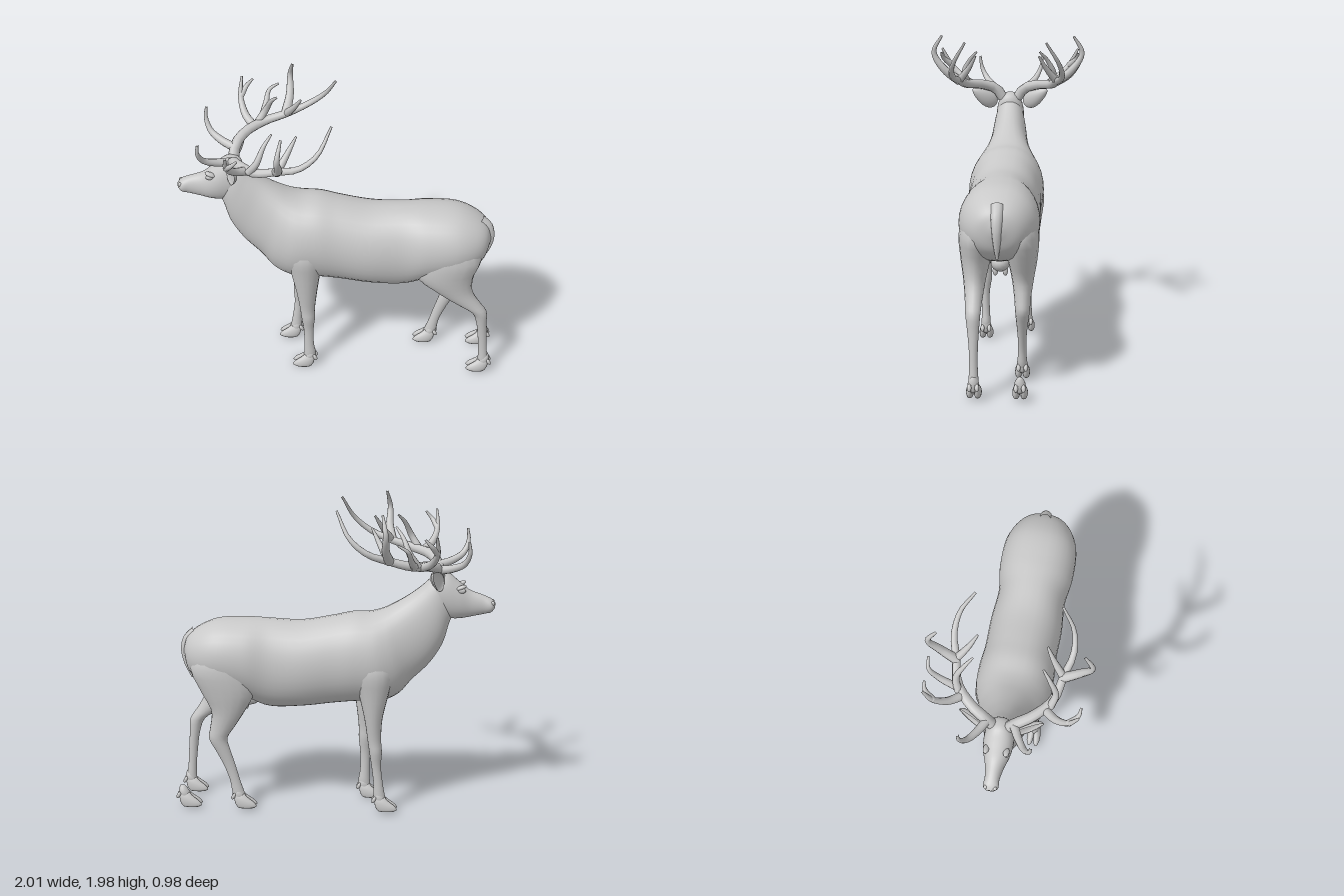
import * as THREE from 'three';

const grey = new THREE.MeshStandardMaterial({ color: 0xc8c8c8 });
grey.name = 'plain grey';
const V = (x, y, z) => new THREE.Vector3(x, y, z);

function mesh(name, geometry) {
  const m = new THREE.Mesh(geometry, grey);
  m.name = name;
  return m;
}

// Smooth closed skin over a list of rings, capped at both ends
function loft(rings) {
  const n = rings[0].length, pos = [], idx = [];
  rings.forEach(r => r.forEach(p => pos.push(p.x, p.y, p.z)));
  for (let i = 0; i < rings.length - 1; i++) {
    for (let j = 0; j < n; j++) {
      const a = i * n + j, b = i * n + (j + 1) % n;
      idx.push(a, b, a + n, b, b + n, a + n);
    }
  }
  [0, rings.length - 1].forEach((i, end) => {
    const c = rings[i].reduce((s, p) => s.add(p), V(0, 0, 0)).divideScalar(n);
    const k = pos.length / 3;
    pos.push(c.x, c.y, c.z);
    for (let j = 0; j < n; j++) {
      const a = i * n + j, b = i * n + (j + 1) % n;
      if (end) idx.push(a, b, k); else idx.push(b, a, k);
    }
  });
  // Turn the skin outward if its enclosed volume is negative
  const at = i => V(pos[3 * i], pos[3 * i + 1], pos[3 * i + 2]);
  let volume = 0;
  for (let i = 0; i < idx.length; i += 3) volume += at(idx[i]).dot(at(idx[i + 1]).cross(at(idx[i + 2])));
  if (volume < 0) idx.reverse();
  const g = new THREE.BufferGeometry();
  g.setAttribute('position', new THREE.Float32BufferAttribute(pos, 3));
  g.setIndex(idx);
  g.computeVertexNormals();
  return g;
}

// Stations along the trunk: [top x, top y, bottom x, bottom y, half width]
function trunk(stations, steps) {
  const curve = f => new THREE.CatmullRomCurve3(stations.map(f), false, 'centripetal');
  const top = curve(s => V(s[0], s[1], s[4])), bottom = curve(s => V(s[2], s[3], s[4]));
  const rings = [];
  for (let i = 0; i <= steps; i++) {
    const t = top.getPoint(i / steps), b = bottom.getPoint(i / steps), ring = [];
    const w = (t.z + b.z) / 2;
    for (let j = 0; j < 32; j++) {
      const a = j / 32 * Math.PI * 2, c = Math.cos(a), s = Math.sin(a);
      const k = 0.5 + c / 2;
      const side = Math.sign(s) * Math.pow(Math.abs(s), 0.88);
      ring.push(V(b.x + (t.x - b.x) * k, b.y + (t.y - b.y) * k, side * w));
    }
    rings.push(ring);
  }
  return loft(rings);
}

// Stations up or down a limb: [x min, x max, y, z centre, z radius]
function limb(stations, side = 1, steps = 28) {
  const a = new THREE.CatmullRomCurve3(stations.map(s => V(s[0], s[2], s[3])), false, 'centripetal');
  const b = new THREE.CatmullRomCurve3(stations.map(s => V(s[1], s[2], s[4])), false, 'centripetal');
  const rings = [];
  for (let i = 0; i <= steps; i++) {
    const p = a.getPoint(i / steps), q = b.getPoint(i / steps), ring = [];
    for (let j = 0; j < 18; j++) {
      const t = j / 18 * Math.PI * 2;
      const k = 0.5 + Math.cos(t) / 2;
      ring.push(V(p.x + (q.x - p.x) * k, p.y + (q.y - p.y) * k, side * p.z + q.z * Math.sin(t)));
    }
    rings.push(ring);
  }
  return loft(rings);
}

// Round tube whose radius runs from r0 to r1 along the points
function taper(points, r0, r1, steps = 18) {
  const path = new THREE.CatmullRomCurve3(points.map(p => V(...p)));
  const g = new THREE.TubeGeometry(path, steps, 1, 10);
  const pos = g.attributes.position;
  for (let i = 0; i <= steps; i++) {
    const c = path.getPointAt(i / steps), r = r0 + (r1 - r0) * Math.pow(i / steps, 1.4);
    for (let j = 0; j <= 10; j++) {
      const k = i * 11 + j, p = V(0, 0, 0).fromBufferAttribute(pos, k).sub(c).multiplyScalar(r).add(c);
      pos.setXYZ(k, p.x, p.y, p.z);
    }
  }
  return g;
}

function blob(name, x, y, z, rx, ry, rz) {
  const m = mesh(name, new THREE.SphereGeometry(1, 16, 12));
  m.position.set(x, y, z);
  m.scale.set(rx, ry, rz);
  return m;
}

// Cloven hoof: two toes, a pastern and two dewclaws; x is its rear edge
function hoof(x, y, z) {
  const g = new THREE.Group();
  g.name = 'hoof';
  for (const s of [-1, 1]) {
    g.add(mesh('toe', limb([
      [-0.125, -0.02, 0, 0.023, 0.018], [-0.14, -0.01, 0.012, 0.023, 0.022], [-0.125, 0, 0.035, 0.022, 0.023],
      [-0.085, 0.005, 0.065, 0.018, 0.02], [-0.06, 0.01, 0.09, 0.012, 0.014],
    ], s, 10)));
    const claw = blob('dewclaw', 0.008, 0.075, s * 0.022, 0.012, 0.024, 0.013);
    claw.rotation.z = 0.5;
    g.add(claw);
  }
  g.add(mesh('pastern', limb([[-0.07, 0.0, 0.04, 0, 0.025], [-0.065, 0.01, 0.08, 0, 0.034],
    [-0.05, 0.008, 0.11, 0, 0.028], [-0.03, 0, 0.135, 0, 0.012]], 1, 8)));
  g.position.set(x, y, z);
  return g;
}

// Main beam and tines of one antler
function antler(side) {
  const g = new THREE.Group();
  g.name = side > 0 ? 'leftAntler' : 'rightAntler';
  const add = (name, pts, r0, r1) => g.add(mesh(name, taper(pts.map(([x, y, z]) => [x, y, z * side]), r0, r1)));
  add('beam', [[-0.65, 1.53, 0.05], [-0.64, 1.59, 0.09], [-0.59, 1.625, 0.18], [-0.48, 1.645, 0.28], [-0.34, 1.685, 0.315],
    [-0.22, 1.73, 0.35], [-0.11, 1.82, 0.335], [-0.03, 1.97, 0.25]], 0.034, 0.007);
  add('browTine', [[-0.65, 1.58, 0.08], [-0.73, 1.60, 0.12], [-0.8, 1.64, 0.165], [-0.83, 1.71, 0.2], [-0.825, 1.785, 0.21]], 0.027, 0.007);
  add('secondTine', [[-0.54, 1.63, 0.24], [-0.6, 1.67, 0.31], [-0.635, 1.75, 0.39], [-0.63, 1.86, 0.45]], 0.027, 0.007);
  add('secondTineFork', [[-0.635, 1.75, 0.39], [-0.6, 1.8, 0.44], [-0.56, 1.845, 0.45]], 0.02, 0.006);
  add('innerTine', [[-0.52, 1.64, 0.27], [-0.47, 1.72, 0.29], [-0.43, 1.81, 0.25], [-0.385, 1.87, 0.2]], 0.024, 0.006);
  add('tallTine', [[-0.35, 1.68, 0.31], [-0.33, 1.76, 0.41], [-0.33, 1.87, 0.475], [-0.31, 1.98, 0.42]], 0.03, 0.007);
  add('upperInnerTine', [[-0.34, 1.69, 0.31], [-0.29, 1.77, 0.25], [-0.24, 1.86, 0.2]], 0.024, 0.006);
  if (side < 0) add('outerTine', [[-0.5, 1.64, 0.28], [-0.48, 1.7, 0.39], [-0.46, 1.77, 0.45], [-0.4, 1.81, 0.46]], 0.024, 0.006);
  return g;
}

// Leaf-shaped ear, hollowed on its front
function ear(side) {
  const g = new THREE.SphereGeometry(1, 24, 18), p = g.attributes.position;
  for (let i = 0; i < p.count; i++) {
    const x = p.getX(i), y = p.getY(i), z = p.getZ(i);
    const depth = x < 0 ? x * -0.5 : x;
    p.setXYZ(i, depth * 0.035, y * 0.1, z * 0.052 * (1 - 0.35 * y));
  }
  g.computeVertexNormals();
  const m = mesh(side > 0 ? 'leftEar' : 'rightEar', g);
  m.position.set(-0.645, 1.535, side * 0.17);
  m.rotation.set(side * 1.0, side * 0.4, 0, 'YXZ');
  return m;
}

export function createModel() {
  const deer = new THREE.Group();
  deer.name = 'stag';

  deer.add(mesh('bodyAndNeck', trunk([
    [0.955, 1.04, 0.95, 0.98, 0.03], [0.925, 1.12, 0.91, 0.88, 0.13], [0.86, 1.175, 0.84, 0.82, 0.19],
    [0.74, 1.225, 0.74, 0.78, 0.232], [0.55, 1.237, 0.56, 0.73, 0.238], [0.4, 1.232, 0.42, 0.67, 0.217],
    [0.2, 1.225, 0.2, 0.675, 0.23], [0, 1.26, 0, 0.70, 0.228], [-0.12, 1.285, -0.15, 0.715, 0.238],
    [-0.23, 1.29, -0.3, 0.72, 0.235], [-0.3, 1.31, -0.41, 0.77, 0.205], [-0.37, 1.345, -0.49, 0.86, 0.165],
    [-0.46, 1.4, -0.6, 0.97, 0.13], [-0.54, 1.46, -0.68, 1.1, 0.112], [-0.6, 1.515, -0.715, 1.22, 0.095],
    [-0.65, 1.55, -0.74, 1.29, 0.07],
  ], 80)));

  deer.add(mesh('head', trunk([
    [-0.585, 1.48, -0.63, 1.36, 0.05], [-0.61, 1.55, -0.67, 1.28, 0.084], [-0.68, 1.565, -0.73, 1.26, 0.09],
    [-0.76, 1.505, -0.79, 1.262, 0.081], [-0.84, 1.44, -0.86, 1.275, 0.057], [-0.92, 1.41, -0.93, 1.29, 0.044],
    [-0.975, 1.385, -0.975, 1.302, 0.045], [-1, 1.36, -0.995, 1.325, 0.022],
  ], 36)));

  for (const s of [1, -1]) {
    deer.add(ear(s), antler(s));
    deer.add(blob('eye', -0.79, 1.448, s * 0.066, 0.024, 0.016, 0.012));
    const brow = blob('brow', -0.785, 1.466, s * 0.06, 0.035, 0.014, 0.018);
    brow.rotation.z = -0.4;
    deer.add(brow);
    deer.add(blob('nostril', -0.982, 1.362, s * 0.028, 0.014, 0.014, 0.012));
    deer.add(blob('teat', 0.56, 0.672, s * 0.03, 0.016, 0.03, 0.016));
  }
  deer.add(blob('udder', 0.54, 0.72, 0, 0.07, 0.055, 0.06));

  // Front legs: the left one stands straight, the right one a little ahead
  deer.add(mesh('leftFrontLeg', limb([
    [-0.29, -0.12, 1.08, 0.13, 0.06], [-0.33, -0.08, 0.95, 0.14, 0.1], [-0.3, -0.11, 0.8, 0.14, 0.085],
    [-0.265, -0.135, 0.62, 0.138, 0.062], [-0.245, -0.15, 0.48, 0.138, 0.042], [-0.238, -0.15, 0.41, 0.138, 0.042],
    [-0.225, -0.16, 0.31, 0.137, 0.026], [-0.222, -0.16, 0.18, 0.136, 0.026], [-0.225, -0.15, 0.1, 0.135, 0.03], [-0.23, -0.17, 0.06, 0.135, 0.025],
  ])));
  deer.add(mesh('rightFrontLeg', limb([
    [-0.33, -0.14, 1.08, 0.13, 0.06], [-0.38, -0.12, 0.95, 0.14, 0.1], [-0.35, -0.16, 0.8, 0.14, 0.085],
    [-0.31, -0.2, 0.62, 0.138, 0.062], [-0.305, -0.22, 0.48, 0.138, 0.042], [-0.31, -0.23, 0.41, 0.138, 0.042],
    [-0.305, -0.245, 0.31, 0.137, 0.026], [-0.32, -0.26, 0.18, 0.136, 0.026], [-0.335, -0.262, 0.1, 0.135, 0.03], [-0.35, -0.29, 0.06, 0.135, 0.025],
  ], -1)));

  // Hind legs: the left one stretched back, the right one stepping forward
  deer.add(mesh('leftHindLeg', limb([
    [0.58, 0.8, 1.1, 0.12, 0.07], [0.5, 0.9, 0.95, 0.13, 0.105], [0.49, 0.855, 0.8, 0.137, 0.092],
    [0.62, 0.855, 0.68, 0.14, 0.068], [0.76, 0.91, 0.58, 0.14, 0.052], [0.86, 0.955, 0.51, 0.14, 0.044],
    [0.893, 0.96, 0.42, 0.138, 0.035], [0.91, 0.968, 0.3, 0.136, 0.026], [0.92, 0.975, 0.19, 0.135, 0.025], [0.92, 0.985, 0.1, 0.135, 0.03], [0.91, 0.97, 0.06, 0.135, 0.025],
  ])));
  deer.add(mesh('rightHindLeg', limb([
    [0.58, 0.8, 1.1, 0.12, 0.07], [0.5, 0.9, 0.95, 0.13, 0.105], [0.49, 0.84, 0.8, 0.137, 0.092],
    [0.56, 0.77, 0.66, 0.14, 0.066], [0.63, 0.78, 0.55, 0.14, 0.05], [0.672, 0.79, 0.48, 0.14, 0.044],
    [0.655, 0.75, 0.4, 0.138, 0.036], [0.625, 0.7, 0.3, 0.136, 0.027], [0.595, 0.66, 0.19, 0.135, 0.025], [0.565, 0.645, 0.1, 0.135, 0.03], [0.55, 0.62, 0.06, 0.135, 0.025],
  ], -1)));

  // Hooves, with one loose spare behind the right hind leg
  deer.add(hoof(-0.16, 0, 0.135), hoof(-0.27, 0.015, -0.135), hoof(0.985, 0.015, 0.135),
    hoof(0.63, 0.015, -0.135), hoof(0.985, 0.015, -0.135));

  deer.add(mesh('tail', taper([[0.87, 1.14, 0], [0.925, 1.09, 0], [0.945, 1.02, 0], [0.935, 0.93, 0], [0.905, 0.84, 0]], 0.042, 0.008)));
  return deer;
}
